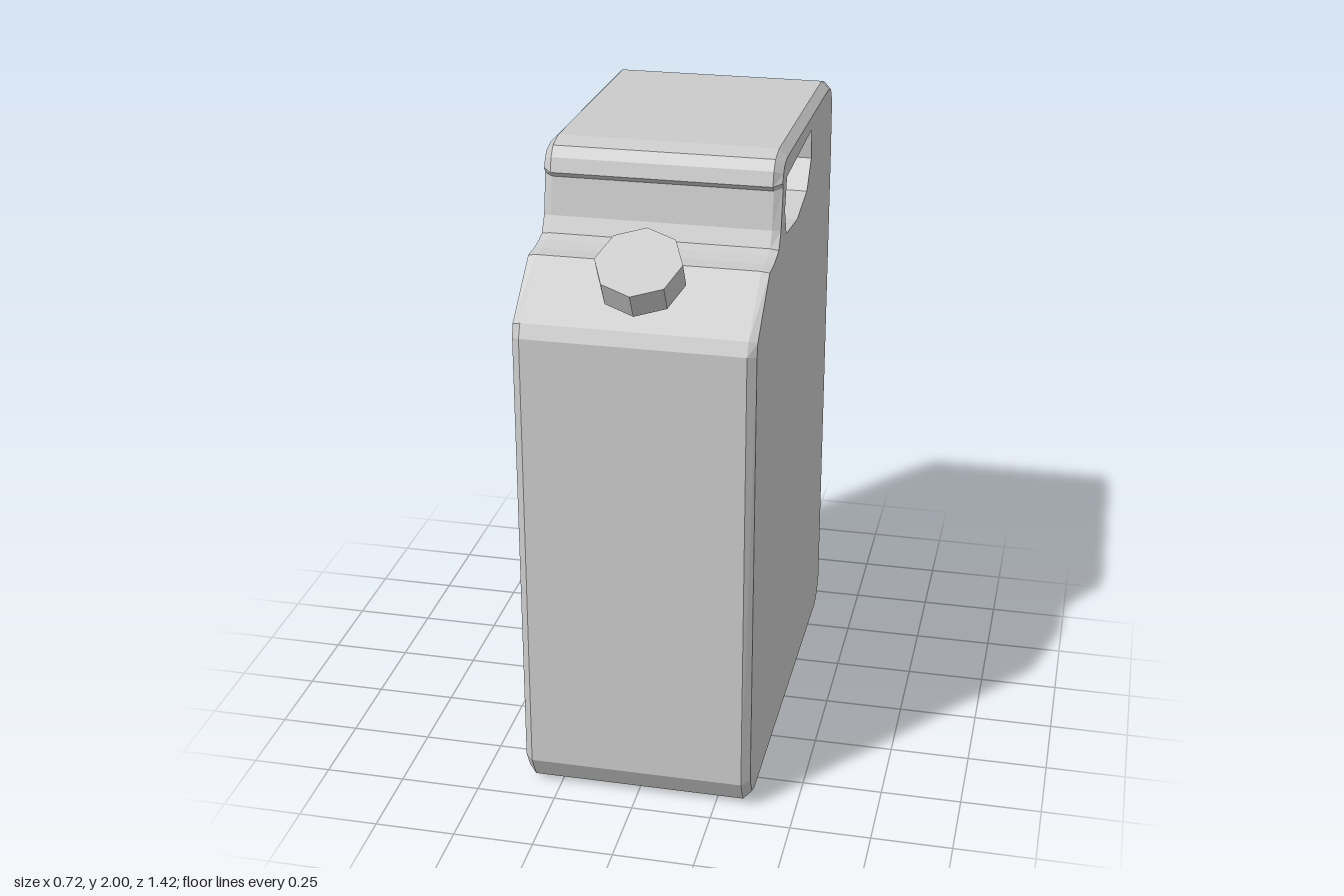
import * as THREE from 'three';

const material = new THREE.MeshStandardMaterial({ color: 0xcccccc, flatShading: true });
const HALF = 0.36, EDGE = 0.025;

// Side outline, counterclockwise: z, y, chamfer inset
const OUTLINE = [
  [-0.71, 0.1, 0.025], [-0.675, 0.035, 0.025], [-0.62, 0.005, 0.025],
  [0.6, 0.005, 0.025], [0.655, 0.025, 0.025], [0.695, 0.1, 0.025],
  [0.687, 1.53, 0.02], [0.668, 1.572, 0.012], [0.48, 1.715, 0.004],
  [0.42, 1.715, 0.004], [0.365, 1.722, 0.004], [0.333, 1.732, 0.006],
  [0.31, 1.78, 0.012], [0.29, 1.895, 0.015], [0.308, 1.912, 0.02],
  [0.295, 1.955, 0.025], [0.27, 1.985, 0.025], [0.21, 2.0, 0.025],
  [-0.6, 1.985, 0.025], [-0.66, 1.967, 0.025], [-0.695, 1.92, 0.025],
  [-0.703, 1.87, 0.025], [-0.71, 1.7, 0.025],
];

// Handle opening, clockwise
const OPENING = [
  [0.235, 1.82], [0.2, 1.735], [0, 1.713], [-0.18, 1.745],
  [-0.255, 1.83], [-0.245, 1.925], [0.21, 1.915],
].reverse().map(([z, y]) => new THREE.Vector2(z, y)).reverse();
if (!THREE.ShapeUtils.isClockWise(OPENING)) OPENING.reverse();

// Move each outline point inwards by its own inset
function insetLoop(loop) {
  const n = loop.length;
  const normal = (a, b) => new THREE.Vector2(a[1] - b[1], b[0] - a[0]).normalize();
  return loop.map((p, i) => {
    const n1 = normal(loop[(i + n - 1) % n], p), n2 = normal(p, loop[(i + 1) % n]);
    const mid = n1.clone().add(n2).normalize();
    return new THREE.Vector2(p[0], p[1]).addScaledVector(mid, p[2] / Math.max(0.6, mid.dot(n1)));
  });
}

function bodyGeometry() {
  const pos = [];
  const put = (x, p) => pos.push(x, p.y, p.x);
  // Wall strip between two loops at different x
  const strip = (x0, loop0, x1, loop1) => loop0.forEach((p, i) => {
    const j = (i + 1) % loop0.length;
    put(x0, p); put(x1, loop1[i]); put(x1, loop1[j]);
    put(x0, p); put(x1, loop1[j]); put(x0, loop0[j]);
  });
  const outer = OUTLINE.map(([z, y]) => new THREE.Vector2(z, y));
  const inner = insetLoop(OUTLINE);
  strip(-HALF, inner, -HALF + EDGE, outer);
  strip(-HALF + EDGE, outer, HALF - EDGE, outer);
  strip(HALF - EDGE, outer, HALF, inner);
  strip(-HALF, OPENING, HALF, OPENING);
  // Flat side panels with the handle opening
  const points = [...inner, ...OPENING];
  for (const [a, b, c] of THREE.ShapeUtils.triangulateShape(inner, [OPENING])) {
    put(-HALF, points[a]); put(-HALF, points[b]); put(-HALF, points[c]);
    put(HALF, points[a]); put(HALF, points[c]); put(HALF, points[b]);
  }
  const geometry = new THREE.BufferGeometry();
  geometry.setAttribute('position', new THREE.Float32BufferAttribute(pos, 3));
  geometry.computeVertexNormals();
  return geometry;
}

export function createModel() {
  const model = new THREE.Group();
  model.name = 'jerrycan';
  const add = (parent, name, geometry, y = 0) => {
    const mesh = new THREE.Mesh(geometry, material);
    mesh.name = name;
    mesh.position.y = y;
    parent.add(mesh);
  };
  add(model, 'body', bodyGeometry());

  // Spout and octagonal cap, tilted forwards on the sloped shoulder
  const spout = new THREE.Group();
  spout.name = 'spoutAssembly';
  spout.position.set(0, 1.684, 0.551);
  spout.rotation.x = 0.52;
  add(spout, 'spoutNeck', new THREE.CylinderGeometry(0.1, 0.1, 0.12, 8), -0.05);
  add(spout, 'cap', new THREE.CylinderGeometry(0.13, 0.13, 0.088, 8), 0.042);
  model.add(spout);
  return model;
}
